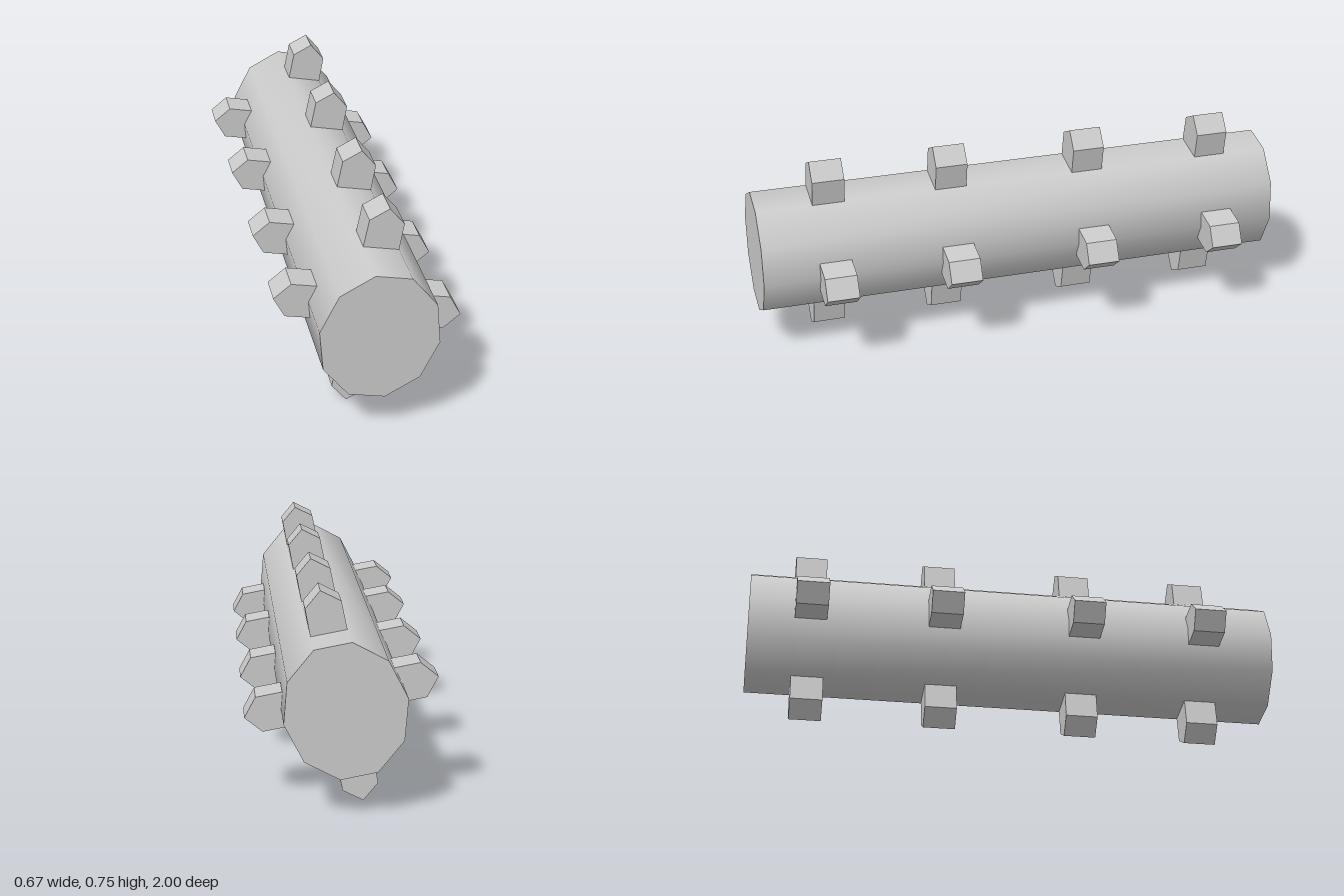
import * as THREE from 'three';
import { toCreasedNormals } from 'three/addons/utils/BufferGeometryUtils.js';

const CENTRE_Y = 0.379;
const grey = new THREE.MeshStandardMaterial({ color: 0xcccccc });
const flatGrey = new THREE.MeshStandardMaterial({ color: 0xcccccc, flatShading: true });

// Opposite point through the roller's axis
const opposite = (points, axisX) => points.map(([x, y]) => [2 * axisX - x, 2 * CENTRE_Y - y]);

// Prism along z, centred on z = 0
function prism(points, depth) {
  const shape = new THREE.Shape(points.map(([x, y]) => new THREE.Vector2(x, y)));
  const geometry = new THREE.ExtrudeGeometry(shape, { depth, bevelEnabled: false });
  return geometry.translate(0, 0, -depth / 2);
}

export function createModel() {
  const model = new THREE.Group();
  model.name = 'studdedRoller';

  // Ten-sided oval roller with smooth sides and flat ends
  const half = [[-0.021, 0.619], [0.107, 0.595], [0.196, 0.485], [0.208, 0.338], [0.14, 0.205]];
  const outline = [...half, ...opposite(half, -0.002)];
  const roller = new THREE.Mesh(toCreasedNormals(prism(outline, 2), Math.PI / 3.5), grey);
  roller.name = 'roller';
  model.add(roller);

  // House-shaped studs on four sides, in four rings along the roller
  const top = [[-0.02, 0.618], [0.107, 0.595], [0.125, 0.693], [0.073, 0.756], [0.001, 0.719]];
  const right = [[0.204, 0.402], [0.296, 0.385], [0.335, 0.312], [0.272, 0.261], [0.18, 0.278]];
  const studs = {
    topStud: top,
    leftStud: right,
    bottomStud: opposite(top, -0.002),
    rightStud: opposite(right, 0),
  };
  const rings = [0.73, 0.265, -0.27, -0.77];
  for (const [name, points] of Object.entries(studs)) {
    const geometry = prism(points, 0.12);
    rings.forEach((z, i) => {
      const stud = new THREE.Mesh(geometry, flatGrey);
      stud.name = `${name}${i + 1}`;
      stud.position.z = z;
      model.add(stud);
    });
  }
  return model;
}
